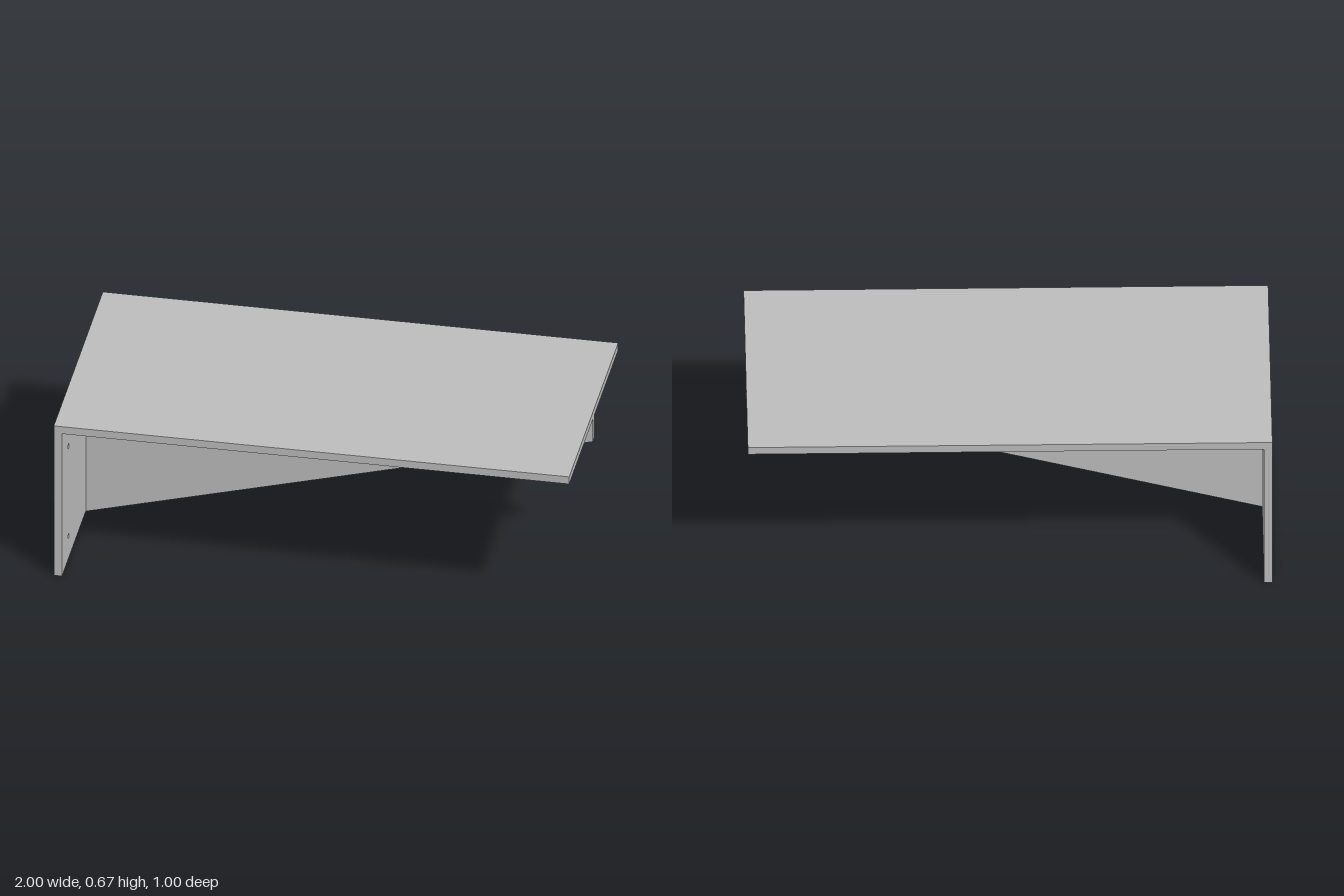
import * as THREE from 'three';

const HEIGHT = 0.667, DEPTH = 1, PLATE = 0.032, WEB = 0.032;

export function createModel() {
  const group = new THREE.Group();
  const grey = new THREE.MeshStandardMaterial({ color: 0xbfbfbf });
  grey.name = 'plain grey';

  const add = (name, geometry) => {
    const mesh = new THREE.Mesh(geometry, grey);
    mesh.name = name;
    group.add(mesh);
    return mesh;
  };
  const polygon = (points) => new THREE.Shape(points.map(([x, y]) => new THREE.Vector2(x, y)));
  const extrude = (shape, depth) =>
    new THREE.ExtrudeGeometry(shape, { depth, bevelEnabled: false, curveSegments: 24 });

  // Flat top shelf
  add('shelf', new THREE.BoxGeometry(2, PLATE, DEPTH)).position.y = HEIGHT - PLATE / 2;

  // Upright mounting plate with four screw holes
  const top = HEIGHT - PLATE;
  const plate = polygon([[-DEPTH / 2, 0], [DEPTH / 2, 0], [DEPTH / 2, top], [-DEPTH / 2, top]]);
  for (const z of [-0.367, 0.367]) {
    for (const y of [0.1, 0.5]) {
      plate.holes.push(new THREE.Path().absarc(z, y, 0.01, 0, Math.PI * 2, true));
    }
  }
  const wall = add('mountingPlate', extrude(plate, PLATE));
  wall.rotation.y = Math.PI / 2;
  wall.position.x = -1;

  // Tapered central rib under the shelf
  const rib = polygon([[-1 + PLATE, 0], [1, 0.535], [1, top], [-1 + PLATE, top]]);
  add('supportRib', extrude(rib, WEB)).position.z = -WEB / 2;

  return group;
}
